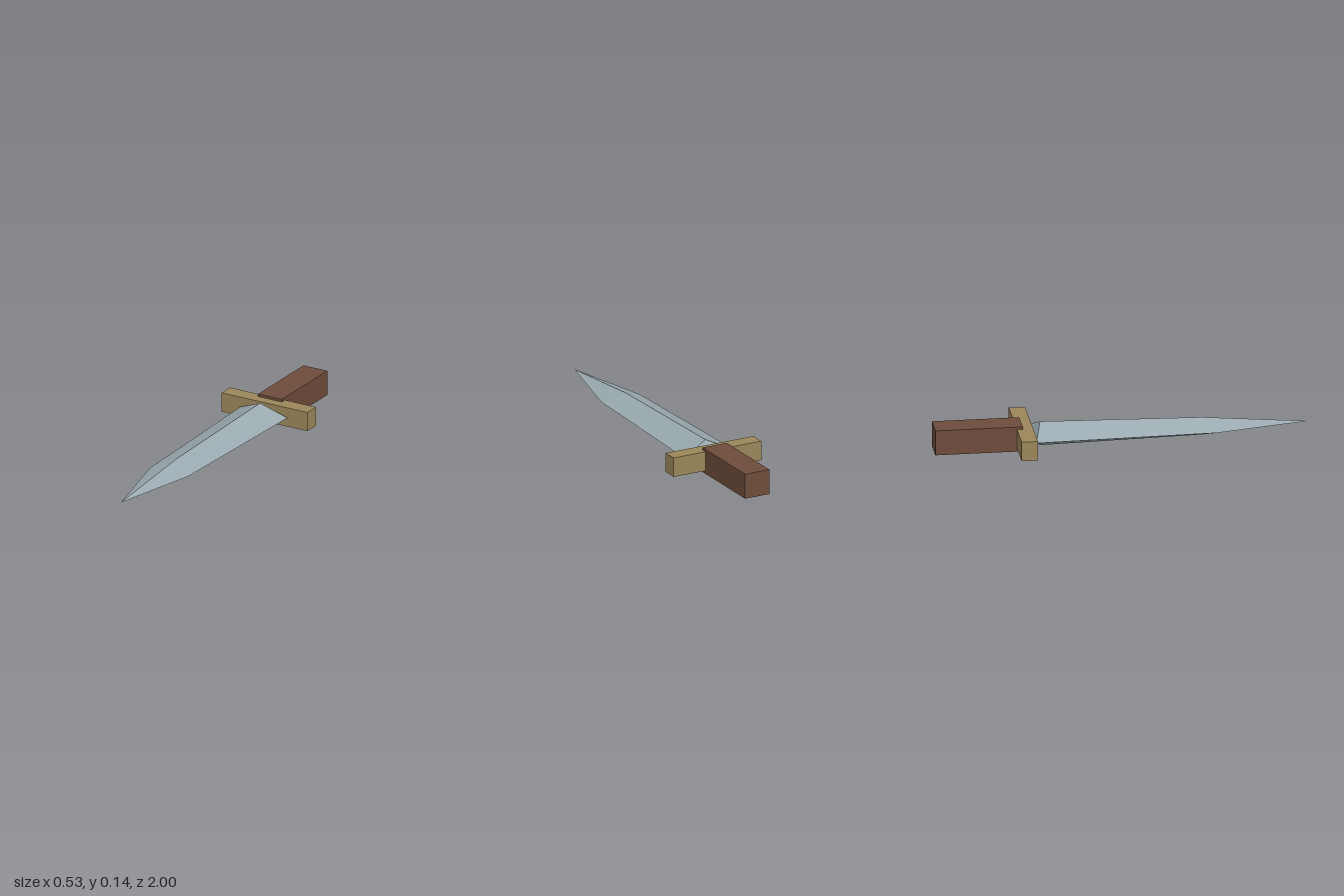
import * as THREE from 'three';

const MID_Y = 0.07;

const material = (name, color) => {
  const m = new THREE.MeshStandardMaterial({ color });
  m.name = name;
  return m;
};

// Diamond cross-section: left edge, upper ridge, right edge, lower ridge
const diamond = (halfWidth, halfHeight, edgeZ, ridgeZ) => [
  [halfWidth, MID_Y, edgeZ],
  [0, MID_Y + halfHeight, ridgeZ],
  [-halfWidth, MID_Y, edgeZ],
  [0, MID_Y - halfHeight, ridgeZ],
];

function bladeGeometry() {
  const heel = diamond(0.147, 0.067, -0.47, -0.432);
  const shoulder = diamond(0.117, 0.049, 0.5, 0.43);
  const tip = [0, MID_Y, 1];
  const corners = [];
  for (let i = 0; i < 4; i++) {
    const j = (i + 1) % 4;
    corners.push(heel[i], heel[j], shoulder[j]);
    corners.push(heel[i], shoulder[j], shoulder[i]);
    corners.push(shoulder[i], shoulder[j], tip);
  }
  // Wedge closing the blade next to the guard
  corners.push(heel[0], heel[2], heel[1]);
  corners.push(heel[2], heel[0], heel[3]);

  const geometry = new THREE.BufferGeometry();
  geometry.setAttribute('position', new THREE.Float32BufferAttribute(corners.flat(), 3));
  geometry.computeVertexNormals();
  return geometry;
}

export function createModel() {
  const group = new THREE.Group();
  group.name = 'dagger';

  const add = (name, geometry, mat, y = 0, z = 0) => {
    const mesh = new THREE.Mesh(geometry, mat);
    mesh.name = name;
    mesh.position.set(0, y, z);
    group.add(mesh);
  };

  add('blade', bladeGeometry(), material('steel', 0x9aaab0));
  add('crossguard', new THREE.BoxGeometry(0.53, 0.107, 0.087), material('brass', 0x9c865a), MID_Y, -0.521);
  add('handle', new THREE.BoxGeometry(0.147, 0.138, 0.467), material('brown wood', 0x6e4c3a), 0.069, -0.7665);

  return group;
}
